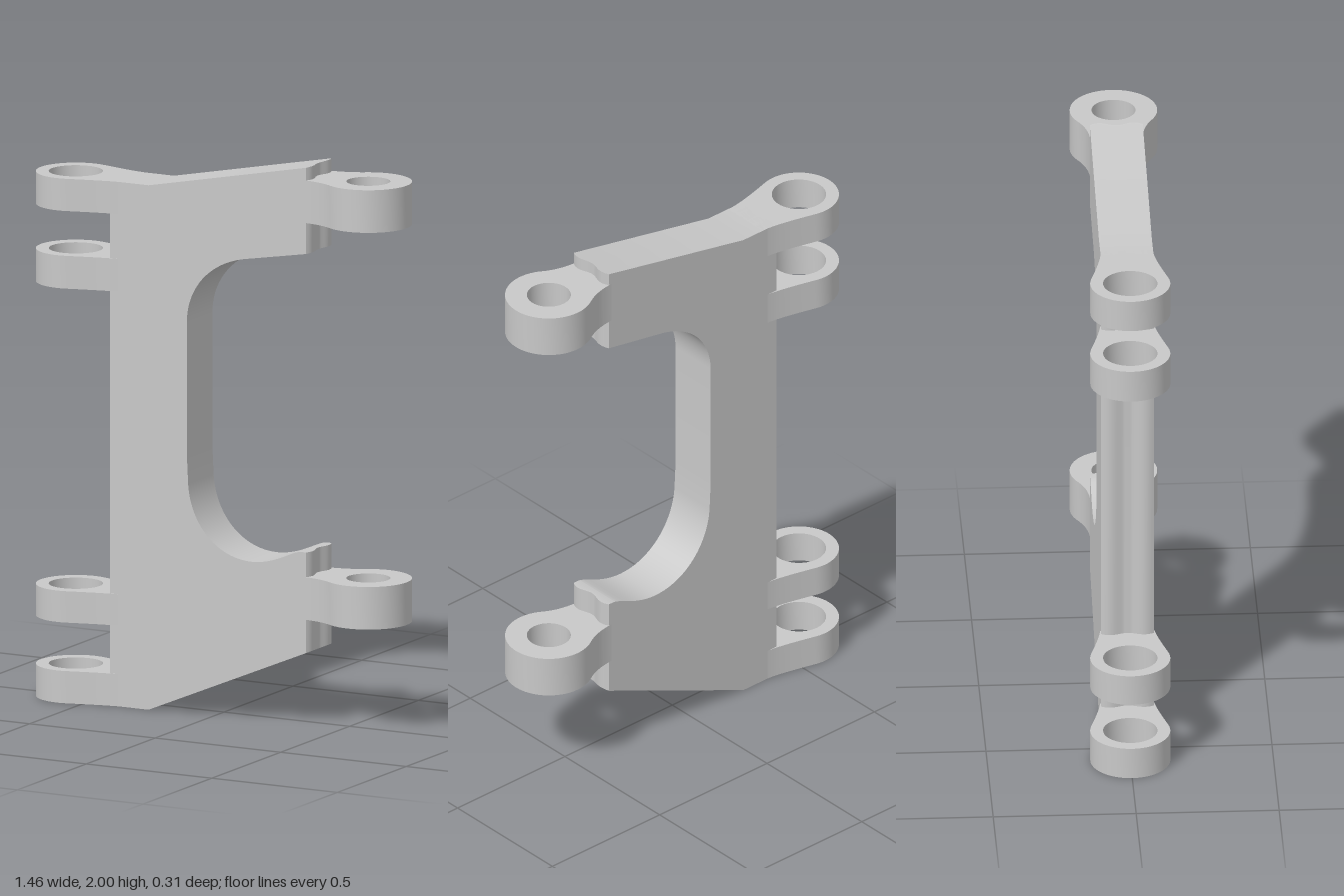
import * as THREE from 'three';
import { toCreasedNormals } from 'three/addons/utils/BufferGeometryUtils.js';

const HALF = 0.0925; // half thickness of the plate

// Depth of the hollow in an end wall: deepest in the middle, rounded towards the faces (t = 0 to 1)
const hollow = t => t < 0.65
  ? 0.007 * (1 + Math.cos(Math.PI * t / 0.65))
  : 0.01 * ((t - 0.65) / 0.35) ** 2;

// Slope of the arm edge that meets the tip at height y
function edgeSlope(y) {
  if (y < 0.3) return 0.425;
  if (y > 1.9) return 0.2;
  return y > 1.6 ? 0.176 : 0;
}

// C-shaped plate, with its end walls hollowed around the hinge lugs
function plateGeometry() {
  const tip = 0.387, back = -0.413;
  const s = new THREE.Shape();
  s.moveTo(back, 0);
  s.lineTo(-0.25, 0);
  s.lineTo(tip, 0.27);
  s.lineTo(tip, 0.625);
  s.lineTo(0.355, 0.625);
  s.bezierCurveTo(0.32, 0.622, 0.25, 0.57, 0.16, 0.57);
  s.bezierCurveTo(0.02, 0.57, -0.082, 0.68, -0.092, 0.82);
  s.lineTo(-0.097, 0.92);
  s.lineTo(-0.097, 1.4);
  s.bezierCurveTo(-0.097, 1.52, -0.01, 1.62, 0.13, 1.647);
  s.lineTo(tip, 1.692);
  s.lineTo(tip, 2);
  s.lineTo(-0.25, 1.872);
  s.lineTo(back, 1.872);
  s.closePath();
  const g = new THREE.ExtrudeGeometry(s, { depth: 2 * HALF, steps: 20, bevelEnabled: false, curveSegments: 24 });
  g.translate(0, 0, -HALF);
  const p = g.attributes.position;
  for (let i = 0; i < p.count; i++) {
    const inset = hollow(Math.min(1, Math.abs(p.getZ(i)) / HALF));
    if (p.getX(i) > 0.38) {
      p.setX(i, tip - inset);
      p.setY(i, p.getY(i) - inset * edgeSlope(p.getY(i)));
    } else if (p.getX(i) < -0.4) {
      p.setX(i, back + inset);
    }
  }
  return toCreasedNormals(g, 0.6);
}

// Hinge eye with a bored hole and a neck that flares into the plate; side is -1 or 1
function lugGeometry({ side, centre, radius, hole, angle, handle, neckEnd, neckEase }, height) {
  const s = new THREE.Shape();
  const c = Math.cos(angle), n = Math.sin(angle);
  const x0 = centre - c * radius, z0 = n * radius;
  const x1 = x0 - handle * n, z1 = z0 - handle * c;
  const x2 = neckEnd + neckEase, w = HALF - 0.001;
  s.moveTo(side * neckEnd, -w);
  s.bezierCurveTo(side * x2, -w, side * x1, -z1, side * x0, -z0);
  for (let i = 1; i <= 48; i++) {
    const a = -Math.PI + angle + (i / 48) * 2 * (Math.PI - angle);
    s.lineTo(side * (centre + radius * Math.cos(a)), radius * Math.sin(a));
  }
  s.bezierCurveTo(side * x1, z1, side * x2, w, side * neckEnd, w);
  s.closePath();
  // the bore winds against the outline, which is reversed on the mirrored side
  const bore = new THREE.Path();
  bore.absarc(side * centre, 0, hole, 0, Math.PI * 2, side > 0);
  s.holes.push(bore);
  const g = new THREE.ExtrudeGeometry(s, { depth: height, bevelEnabled: false, curveSegments: 24 });
  g.rotateX(-Math.PI / 2);
  return toCreasedNormals(g, 0.6);
}

const THIN = { side: -1, centre: 0.59, radius: 0.14, hole: 0.095, angle: 1.3, handle: 0.1, neckEnd: 0.34, neckEase: 0.05 };
const THICK = { side: 1, centre: 0.575, radius: 0.153, hole: 0.077, angle: 1.02, handle: 0.055, neckEnd: 0.33, neckEase: 0.07 };

export function createModel() {
  const model = new THREE.Group();
  model.name = 'hingeBracket';
  const metal = new THREE.MeshStandardMaterial({ color: 0xc8c8c8 });
  metal.name = 'grey metal';

  const add = (name, geometry, y = 0) => {
    const mesh = new THREE.Mesh(geometry, metal);
    mesh.name = name;
    mesh.position.y = y;
    model.add(mesh);
  };

  add('plate', plateGeometry());

  // Two pairs of thin lugs along the straight edge
  [[0, 0.115], [0.288, 0.4], [1.48, 1.597], [1.757, 1.872]].forEach(([low, high], i) =>
    add('thinLug' + (i + 1), lugGeometry(THIN, high - low), low));

  // One thick lug at the tip of each arm
  [0.385, 1.801].forEach((low, i) =>
    add('thickLug' + (i + 1), lugGeometry(THICK, 0.152), low));

  return model;
}
